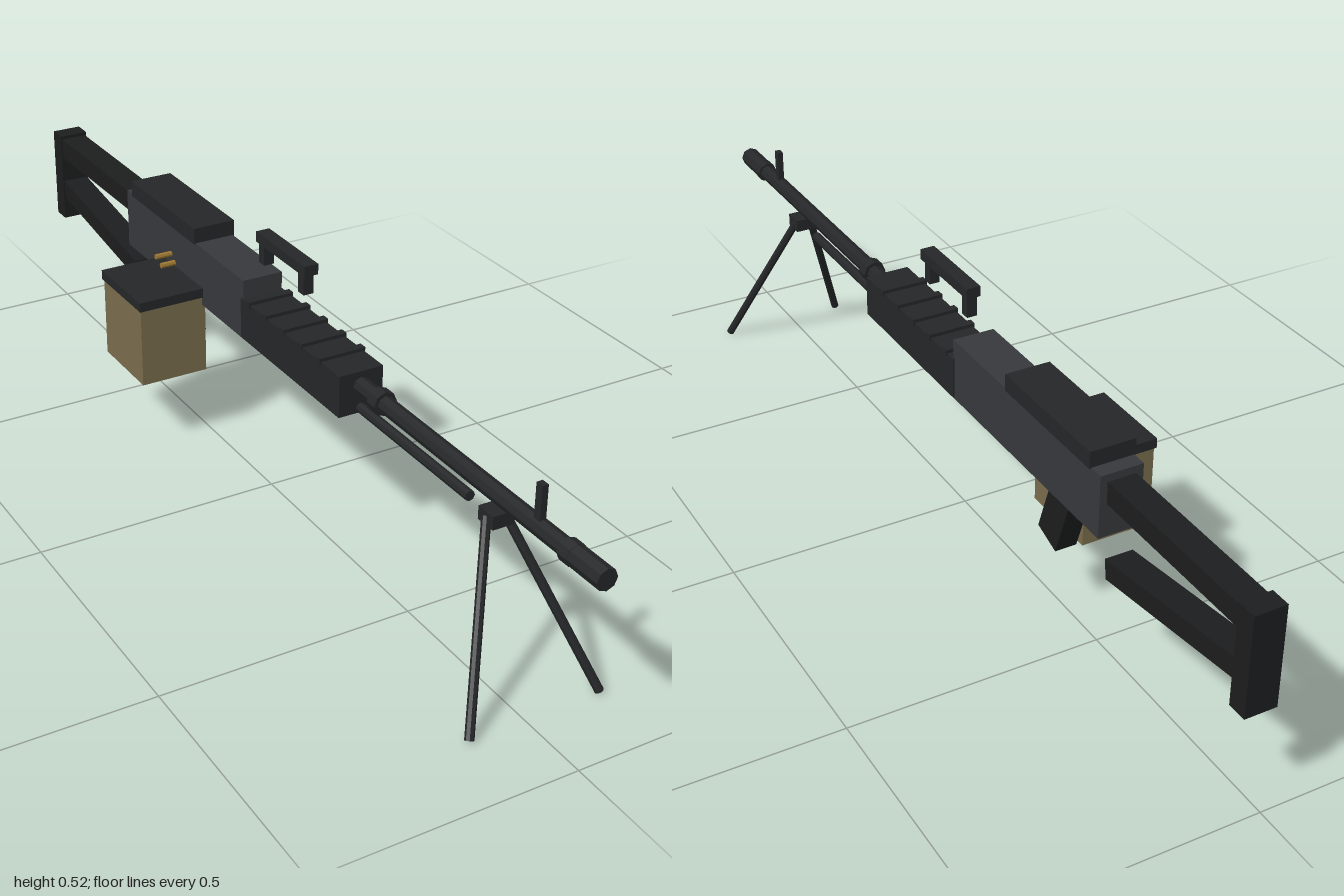
import * as THREE from 'three';

const CX = 0.02; // centre line of the gun body

const material = (color) => new THREE.MeshStandardMaterial({ color, flatShading: true });

export function createModel() {
  const model = new THREE.Group();
  const steel = material(0x36383b);
  const dark = material(0x242628);
  const black = material(0x1c1d1e);
  const tan = material(0x796c4d);
  const brass = material(0x9a7632);

  const add = (name, geometry, mat) => {
    const mesh = new THREE.Mesh(geometry, mat);
    mesh.name = name;
    model.add(mesh);
    return mesh;
  };

  // Box given by its limits on each axis
  const box = (name, [x0, x1], [y0, y1], [z0, z1], mat) => {
    const mesh = add(name, new THREE.BoxGeometry(x1 - x0, y1 - y0, z1 - z0), mat);
    mesh.position.set((x0 + x1) / 2, (y0 + y1) / 2, (z0 + z1) / 2);
    return mesh;
  };
  const wide = (w) => [CX - w / 2, CX + w / 2];

  // Faceted rod between two points
  const rod = (name, a, b, r, mat, sides = 8) => {
    const from = new THREE.Vector3(...a);
    const to = new THREE.Vector3(...b);
    const dir = to.clone().sub(from);
    const mesh = add(name, new THREE.CylinderGeometry(r, r, dir.length(), sides), mat);
    mesh.position.copy(from).add(to).multiplyScalar(0.5);
    mesh.quaternion.setFromUnitVectors(new THREE.Vector3(0, 1, 0), dir.normalize());
    return mesh;
  };

  // Receiver and feed cover
  box('receiver', wide(0.085), [0.3, 0.426], [-0.585, -0.07], steel);
  box('feedCover', wide(0.091), [0.424, 0.458], [-0.555, -0.27], dark);

  // Handguard with ribs on top
  box('handguard', wide(0.092), [0.304, 0.388], [-0.075, 0.293], dark);
  for (let i = 0; i < 5; i++) {
    const z = 0.22 - i * 0.066;
    box('handguardRib', wide(0.097), [0.383, 0.395], [z - 0.008, z + 0.008], dark);
  }

  // Barrel, collar, muzzle and gas tube
  rod('barrel', [CX, 0.36, 0.25], [CX, 0.36, 0.99], 0.0165, dark);
  rod('barrelCollar', [CX, 0.36, 0.35], [CX, 0.36, 0.375], 0.024, dark);
  rod('muzzle', [CX, 0.36, 0.91], [CX, 0.36, 1], 0.0205, dark);
  rod('muzzleRing', [CX, 0.36, 0.9], [CX, 0.36, 0.925], 0.0215, dark);
  rod('gasTube', [CX, 0.314, 0.28], [CX, 0.314, 0.64], 0.01, dark);
  box('frontSight', wide(0.012), [0.36, 0.44], [0.82, 0.836], dark);

  // Carry handle
  box('carryHandle', wide(0.029), [0.503, 0.524], [-0.07, 0.114], dark);
  for (const z of [0.094, -0.055]) {
    box('carryHandlePost', wide(0.021), [0.461, 0.505], [z - 0.01, z + 0.01], dark);
  }

  // Bipod
  box('bipodMount', wide(0.043), [0.306, 0.332], [0.694, 0.736], dark);
  for (const side of [-1, 1]) {
    rod('bipodLeg', [CX + side * 0.017, 0.32, 0.711], [CX + side * 0.133, 0.004, 0.857], 0.0085, dark);
  }

  // Skeleton stock
  box('stockUpperBar', wide(0.056), [0.367, 0.411], [-0.965, -0.58], black);
  const lower = box('stockLowerBar', wide(0.056), [0.242, 0.282], [-0.968, -0.588], black);
  lower.rotation.x = 0.143;
  box('buttPlate', wide(0.063), [0.217, 0.418], [-1, -0.96], black);

  // Pistol grip and trigger group
  const grip = box('pistolGrip', wide(0.044), [0.165, 0.315], [-0.443, -0.379], black);
  grip.rotation.x = -0.33;
  const guard = add('triggerGuard', new THREE.TorusGeometry(0.027, 0.004, 6, 12, Math.PI), black);
  guard.rotation.set(0, Math.PI / 2, Math.PI);
  guard.position.set(CX, 0.302, -0.378);
  box('trigger', wide(0.008), [0.28, 0.302], [-0.384, -0.376], black);

  // Ammunition box on the right side
  box('ammoBox', [-0.16, -0.016], [0.151, 0.32], [-0.416, -0.245], tan);
  box('ammoBoxLid', [-0.163, -0.013], [0.318, 0.338], [-0.42, -0.241], dark);

  // Cartridge belt curving from the box into the receiver
  const belt = [[-0.042, 0.361], [-0.036, 0.345], [-0.02, 0.326], [0, 0.307], [0.017, 0.291]];
  belt.forEach(([x, y], i) => {
    const z = -0.378 + i * 0.012;
    rod('cartridge', [x - 0.018, y, z], [x + 0.018, y, z], 0.006, brass);
  });

  return model;
}
